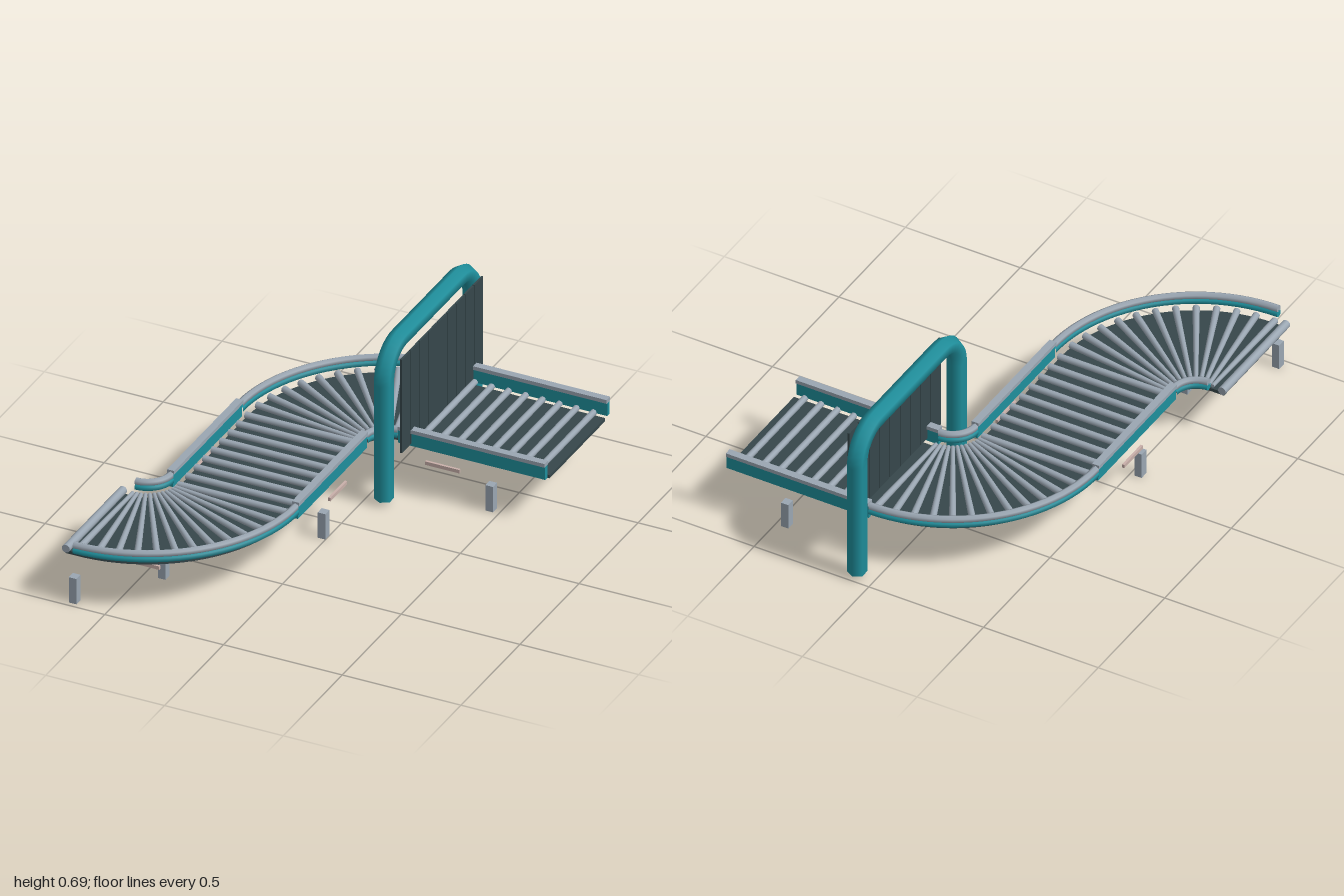
import * as THREE from 'three';

const mat = (name, color) => {
  const m = new THREE.MeshStandardMaterial({ color });
  m.name = name;
  return m;
};

// Circular arc in the horizontal plane
class ArcPath extends THREE.Curve {
  constructor(cx, cz, y, r, a0, a1) {
    super();
    Object.assign(this, { cx, cz, y, r, a0, a1 });
  }
  getPoint(t, target = new THREE.Vector3()) {
    const a = this.a0 + (this.a1 - this.a0) * t;
    return target.set(this.cx + this.r * Math.cos(a), this.y, this.cz + this.r * Math.sin(a));
  }
}

export function createModel() {
  const model = new THREE.Group();
  model.name = 'rollerConveyor';
  const steel = mat('steel grey', 0x9aa6b2);
  const teal = mat('teal paint', 0x1f8f9c);
  const dark = mat('dark rubber', 0x36474b);
  const pink = mat('pale brace', 0xc9b0aa);

  const add = (name, geo, material, x = 0, y = 0, z = 0, parent = model) => {
    const m = new THREE.Mesh(geo, material);
    m.name = name;
    m.position.set(x, y, z);
    parent.add(m);
    return m;
  };
  const box = (name, material, sx, sy, sz, x, y, z, parent) =>
    add(name, new THREE.BoxGeometry(sx, sy, sz), material, x, y, z, parent);

  const MID = 0.36, HALF = 0.235, RAIL = 0.263, BED_TOP = 0.207, BED_H = 0.014, ROLL_Y = 0.22;

  // Straight section running along local x, centred on its origin
  const straight = (name, length, rollers) => {
    const g = new THREE.Group();
    g.name = name;
    box('bed', dark, length, BED_H, HALF * 2, 0, BED_TOP - BED_H / 2, 0, g);
    for (const s of [-1, 1]) {
      box('sideRail', teal, length, 0.056, 0.02, 0, 0.234, s * RAIL, g);
      box('railCap', steel, length, 0.016, 0.03, 0, 0.27, s * RAIL, g);
    }
    for (const x of rollers) {
      const geo = new THREE.CylinderGeometry(0.013, 0.013, HALF * 2, 10).rotateX(Math.PI / 2);
      add('roller', geo, steel, x, ROLL_Y, 0, g);
    }
    model.add(g);
    return g;
  };

  // Quarter turn with tapered rollers fanned about its centre
  const curve = (name, cx, cz, a0) => {
    const g = new THREE.Group();
    g.name = name;
    const a1 = a0 + Math.PI / 2;
    const shape = new THREE.Shape();
    shape.absarc(0, 0, MID + HALF, a0, a1, false);
    shape.absarc(0, 0, MID - HALF, a1, a0, true);
    const bed = new THREE.ExtrudeGeometry(shape, { depth: BED_H, bevelEnabled: false, curveSegments: 20 });
    add('bed', bed.rotateX(Math.PI / 2), dark, cx, BED_TOP, cz, g);
    for (const r of [MID - RAIL, MID + RAIL]) {
      add('sideRail', new THREE.TubeGeometry(new ArcPath(cx, cz, 0.235, r, a0, a1), 24, 0.016, 6), teal, 0, 0, 0, g);
      add('railCap', new THREE.TubeGeometry(new ArcPath(cx, cz, 0.257, r, a0, a1), 24, 0.015, 6), steel, 0, 0, 0, g);
    }
    for (let i = 1; i <= 12; i++) {
      const geo = new THREE.CylinderGeometry(0.014, 0.008, HALF * 2, 10).rotateZ(-Math.PI / 2).translate(MID, 0, 0);
      add('taperedRoller', geo, steel, cx, ROLL_Y, cz, g).rotation.y = -(a0 + (i / 12) * Math.PI / 2);
    }
    model.add(g);
  };

  // Infeed, first turn, middle run, second turn
  const infeed = straight('infeedSection', 0.62, Array.from({ length: 8 }, (_, i) => -0.31 + 0.0715 * (i + 1)));
  infeed.position.set(0.39, 0, -0.59);
  curve('firstTurn', 0.08, -0.23, Math.PI);
  const middle = straight('middleSection', 0.585, Array.from({ length: 9 }, (_, i) => (i - 4) * 0.0715));
  middle.position.set(-0.28, 0, 0.0625);
  middle.rotation.y = Math.PI / 2;
  curve('secondTurn', -0.64, 0.355, 0);

  // Closed rail ends, end plate and end roller at the outfeed
  for (const r of [MID - RAIL, MID + RAIL]) {
    for (const [y, rad, m] of [[0.235, 0.016, teal], [0.257, 0.015, steel]]) {
      add('railEnd', new THREE.CircleGeometry(rad, 6, Math.PI / 2), m, -0.64, y, 0.355 + r).rotation.y = -Math.PI / 2;
    }
  }
  box('endPlate', dark, 0.05, BED_H, HALF * 2, -0.665, BED_TOP - BED_H / 2, 0.715);
  add('endRoller', new THREE.CylinderGeometry(0.017, 0.017, 0.485, 12).rotateX(Math.PI / 2), steel, -0.685, 0.217, 0.715);

  // Hoop over the line
  const zA = -0.209, zB = -0.958, top = 0.657, bottom = 0.018, bend = 0.13, X = 0.075;
  const v = (y, z) => new THREE.Vector3(X, y, z);
  const path = new THREE.CurvePath();
  const k = bend * 0.45;
  path.add(new THREE.LineCurve3(v(bottom, zA), v(top - bend, zA)));
  path.add(new THREE.CubicBezierCurve3(v(top - bend, zA), v(top - k, zA), v(top, zA - k), v(top, zA - bend)));
  path.add(new THREE.LineCurve3(v(top, zA - bend), v(top, zB + bend)));
  path.add(new THREE.CubicBezierCurve3(v(top, zB + bend), v(top, zB + k), v(top - k, zB), v(top - bend, zB)));
  path.add(new THREE.LineCurve3(v(top - bend, zB), v(bottom, zB)));
  add('hoop', new THREE.TubeGeometry(path, 80, 0.038, 6), teal);
  for (const z of [zA, zB]) {
    add('hoopFoot', new THREE.CircleGeometry(0.038, 6, Math.PI / 2).rotateX(Math.PI / 2), teal, X, bottom, z);
  }

  // Strip curtain hanging beside the hoop
  for (let i = 0; i < 9; i++) {
    box('curtainStrip', dark, 0.008, 0.41, 0.073, 0.133, 0.422, -0.58 + (i - 4) * 0.0768);
  }

  // Short legs
  const legs = [[0.46, -0.343], [0.46, -0.822], [-0.055, -0.508], [-0.017, 0.118],
    [-0.535, 0.118], [-0.425, 0.652], [-0.645, 0.963]];
  for (const [x, z] of legs) box('leg', steel, 0.032, 0.111, 0.035, x, 0.0555, z);

  // Loose cross braces
  for (const [x, z] of [[0.272, -0.31], [-0.425, 0.83]]) box('brace', pink, 0.145, 0.015, 0.01, x, 0.154, z);
  for (const x of [-0.555, -0.004]) box('brace', pink, 0.01, 0.015, 0.14, x, 0.154, 0.025);

  return model;
}
